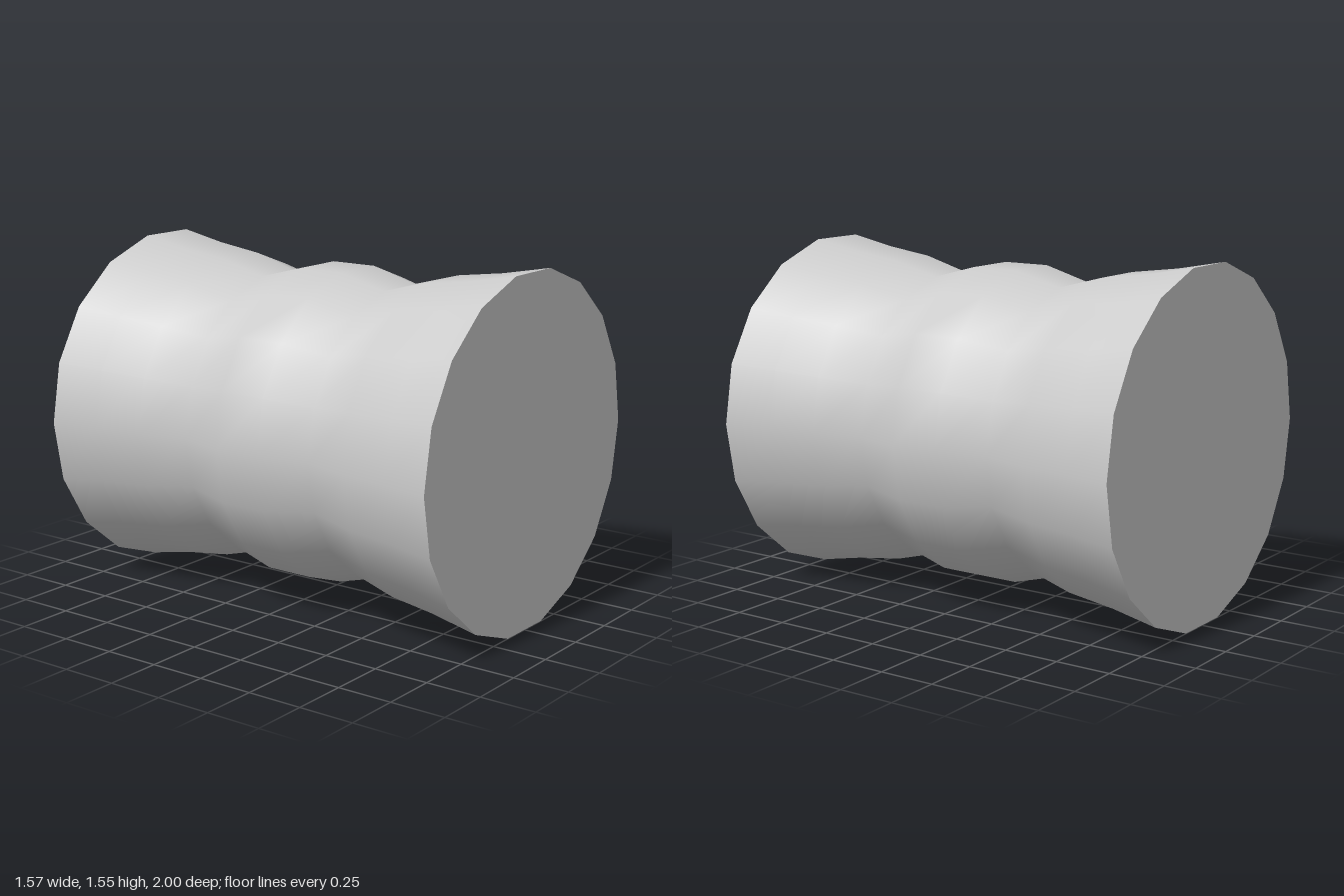
import * as THREE from 'three';

const SIDES = 18;
const END_RADIUS = 0.786;
const CENTRE_Y = END_RADIUS * Math.cos(Math.PI / SIDES);

export function createModel() {
  const group = new THREE.Group();
  group.name = 'wavyDrum';
  const material = new THREE.MeshStandardMaterial({ color: 0xcccccc });

  const addPart = (name, geometry, z = 0) => {
    const mesh = new THREE.Mesh(geometry, material);
    mesh.name = name;
    mesh.position.set(0, CENTRE_Y, z);
    group.add(mesh);
  };

  // Half of the symmetric profile, radii from the middle bulge out to the flared end
  const radii = [0.713, 0.653, 0.713, 0.743, END_RADIUS];
  const half = radii.map((r, i) => new THREE.Vector2(r, (2 * i + 1) / 9));
  const profile = [...half.map((p) => new THREE.Vector2(p.x, -p.y)).reverse(), ...half];

  // Smooth turned wall, laid along z with a corner on each side
  addPart('wall', new THREE.LatheGeometry(profile, SIDES, Math.PI / 2).rotateX(Math.PI / 2));

  // Flat end caps
  addPart('frontCap', new THREE.CircleGeometry(END_RADIUS, SIDES), 1);
  addPart('backCap', new THREE.CircleGeometry(END_RADIUS, SIDES).rotateY(Math.PI), -1);

  return group;
}
